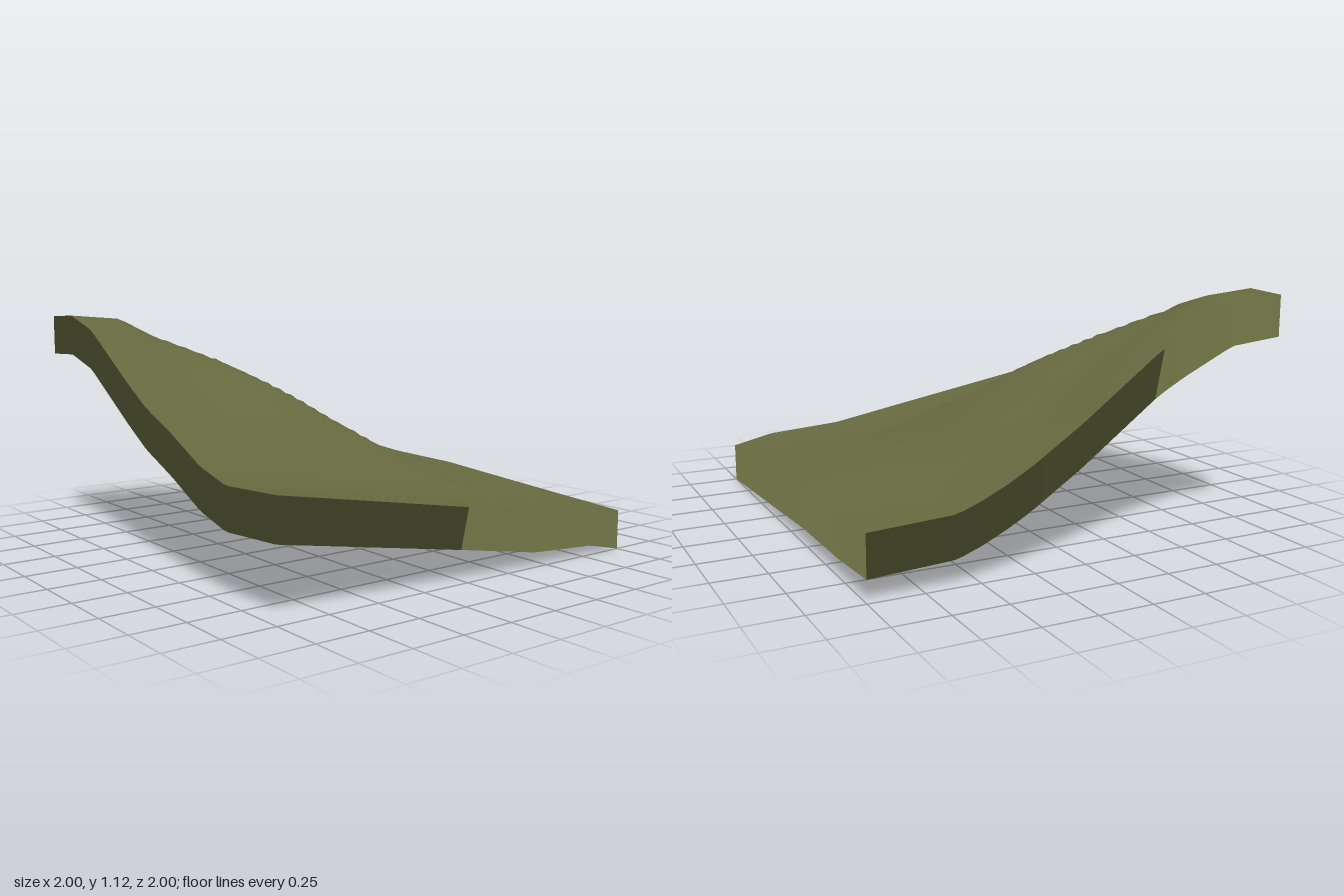
import * as THREE from 'three';

const SKIRT = 0.19;
const SEGMENTS = 48;

// Height profiles along the four edges: [position, height]
const BACK = [[-1, 1.11], [-0.74, 1.085], [-0.48, 0.965], [-0.35, 0.895], [-0.17, 0.765], [0.03, 0.62],
  [0.27, 0.465], [0.38, 0.405], [0.5, 0.35], [0.61, 0.31], [1, 0.29]];
const FRONT = [[-1, 0.51], [-0.4, 0.405], [0, 0.335], [0.42, 0.26], [0.8, 0.235], [1, 0.19]];
const LEFT = [[-1, 1.11], [-0.79, 1.12], [-0.57, 1.06], [-0.2, 0.835], [-0.03, 0.74], [0.2, 0.65],
  [0.44, 0.54], [0.64, 0.49], [1, 0.51]];
const RIGHT = [[-1, 0.29], [-0.65, 0.268], [-0.2, 0.262], [0.4, 0.225], [1, 0.19]];

// Straight-line interpolation along a profile
function sample(profile, t) {
  const i = Math.max(1, profile.findIndex(([end]) => t <= end));
  const [t0, h0] = profile[i - 1], [t1, h1] = profile[i];
  return h0 + (h1 - h0) * (t - t0) / (t1 - t0);
}

// Sloping ground plus a hill whose two flanks meet in a rounded diagonal ridge
function height(x, z) {
  const front = sample(FRONT, x), right = sample(RIGHT, z);
  const flankX = (sample(BACK, x) - front - 0.1) / 0.5;
  const flankZ = (sample(LEFT, z) - right - 0.32) / 0.5;
  const u = Math.max(flankX, 0), v = Math.max(flankZ, 0);
  const ridge = Math.min(u, v) * Math.max(u, v, 1);
  const bulge = 1.4 * u * (1 - u) * v * (1 - v);
  // Shallow dips at the foot of the hill fade out toward the far edges
  const dips = Math.min(flankX, 0) * (1 - z) / 2 + Math.min(flankZ, 0) * (1 - x) / 2;
  return front + right - 0.19 + 0.5 * (ridge + bulge + dips);
}

// Smooth terrain normal from the slope over a small neighbourhood
function terrainNormal(x, z) {
  const r = 0.08;
  const x0 = Math.max(x - r, -1), x1 = Math.min(x + r, 1);
  const z0 = Math.max(z - r, -1), z1 = Math.min(z + r, 1);
  return new THREE.Vector3(
    (height(x0, z) - height(x1, z)) / (x1 - x0), 1,
    (height(x, z0) - height(x, z1)) / (z1 - z0)).normalize();
}

// Drape a geometry over the terrain; vertices below y = 0 hang down by the skirt depth
function drape(geometry) {
  const { position, normal } = geometry.attributes;
  for (let i = 0; i < position.count; i++) {
    const x = THREE.MathUtils.clamp(position.getX(i), -1, 1);
    const z = THREE.MathUtils.clamp(position.getZ(i), -1, 1);
    const drop = position.getY(i) < -0.1 ? SKIRT : 0;
    position.setXYZ(i, x, height(x, z) - drop, z);
    normal.setXYZ(i, ...terrainNormal(x, z).toArray());
  }
  return geometry;
}

export function createModel() {
  const group = new THREE.Group();
  group.name = 'hillTerrain';
  const olive = new THREE.MeshStandardMaterial({ color: 0x676a3f, side: THREE.DoubleSide });
  olive.name = 'olive grass';

  const add = (name, geometry) => {
    const mesh = new THREE.Mesh(drape(geometry), olive);
    mesh.name = name;
    group.add(mesh);
  };

  // Ground sheet, open underneath
  add('groundSurface', new THREE.PlaneGeometry(2, 2, SEGMENTS, SEGMENTS).rotateX(-Math.PI / 2));

  // Skirts hanging from the four edges, shaded as a continuation of the ground
  ['frontSkirt', 'leftSkirt', 'backSkirt', 'rightSkirt'].forEach((name, i) => {
    add(name, new THREE.PlaneGeometry(2, 1, SEGMENTS, 1).translate(0, 0, 1).rotateY(i * Math.PI / 2));
  });

  return group;
}
